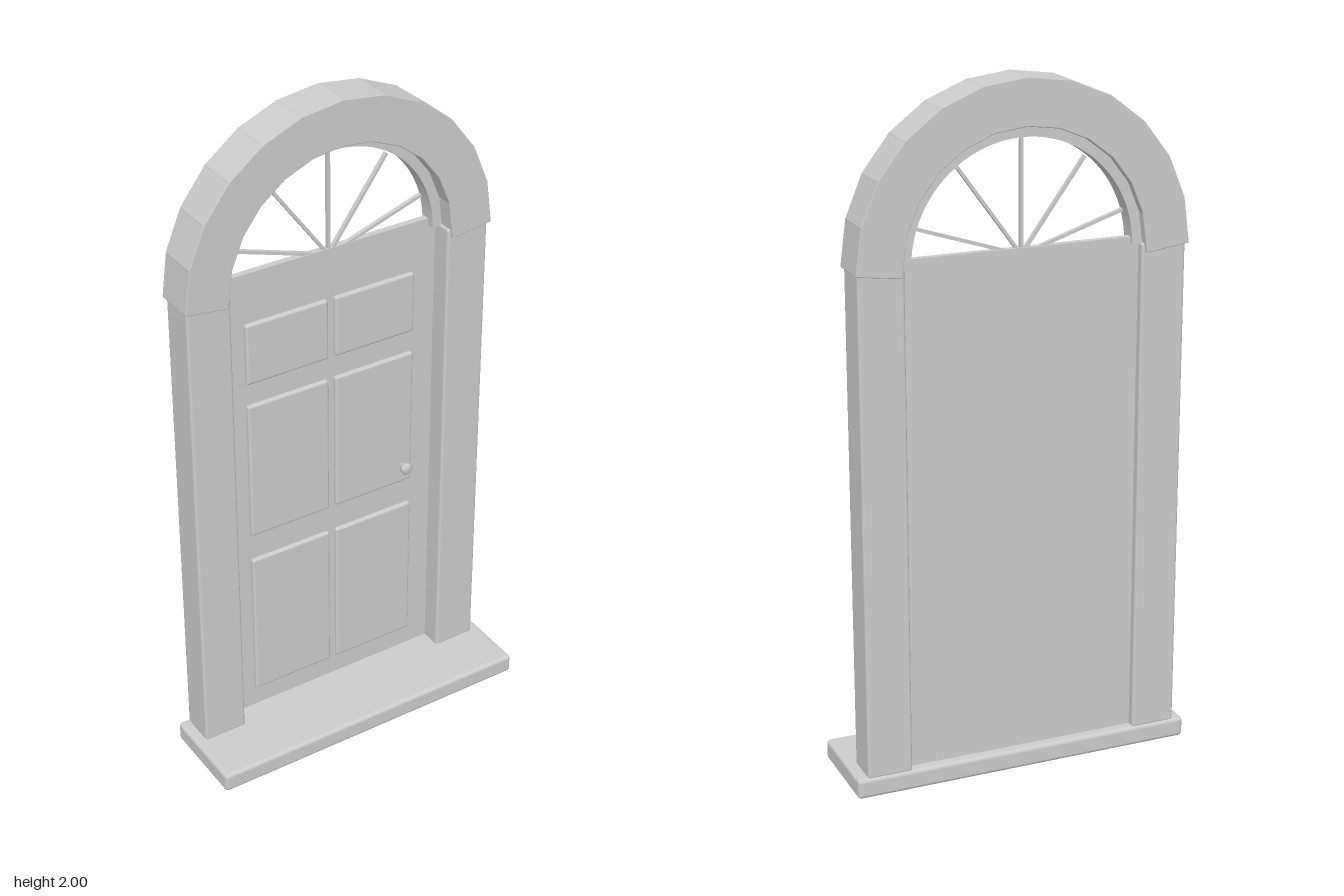
import * as THREE from 'three';
import { RoundedBoxGeometry } from 'three/addons/geometries/RoundedBoxGeometry.js';

const SPRING = 1.515; // height of the arch centre
const SILL_TOP = 0.06;

export function createModel() {
  const model = new THREE.Group();
  model.name = 'archedDoorway';
  const grey = new THREE.MeshStandardMaterial({ color: 0xcccccc });
  grey.name = 'plain grey';

  const add = (name, geometry, parent = model) => {
    const mesh = new THREE.Mesh(geometry, grey);
    mesh.name = name;
    parent.add(mesh);
    return mesh;
  };

  // box given by its extents, with optional softened edges
  const block = (name, [x0, x1], [y0, y1], [z0, z1], bevel = 0, parent = model) => {
    const size = [x1 - x0, y1 - y0, z1 - z0];
    const geometry = bevel
      ? new RoundedBoxGeometry(...size, 2, bevel)
      : new THREE.BoxGeometry(...size);
    const mesh = add(name, geometry, parent);
    mesh.position.set((x0 + x1) / 2, (y0 + y1) / 2, (z0 + z1) / 2);
    return mesh;
  };

  // doorstep
  block('sill', [-0.51, 0.51], [0, SILL_TOP], [-0.142, 0.142], 0.012);

  // side posts
  block('leftJamb', [0.345, 0.478], [SILL_TOP - 0.005, 1.52], [-0.136, -0.028], 0.008);
  block('rightJamb', [-0.478, -0.345], [SILL_TOP - 0.005, 1.52], [-0.136, -0.028], 0.008);

  // ring of overlapping arch stones
  const arch = new THREE.Group();
  arch.name = 'archStones';
  model.add(arch);
  const stones = 12, inner = 0.35, outer = 0.48;
  for (let i = 0; i < stones; i++) {
    const angle = ((i + 0.5) / stones) * Math.PI;
    const r = (inner + outer) / 2;
    const stone = add('archStone', new RoundedBoxGeometry(outer - inner, 0.135, 0.125, 1, 0.003), arch);
    stone.position.set(r * Math.cos(angle), SPRING + r * Math.sin(angle), -0.0825);
    stone.rotation.z = angle;
  }

  // thin round frame lining the fanlight
  const ring = new THREE.Shape();
  ring.absarc(0, 0, 0.36, 0, Math.PI, false);
  ring.absarc(0, 0, 0.322, Math.PI, 0, true);
  const frame = add('fanlightFrame', new THREE.ExtrudeGeometry(ring, {
    depth: 0.05, bevelEnabled: false, curveSegments: 20,
  }));
  frame.position.set(0, SPRING, -0.12);

  // radiating glazing bars
  const bars = new THREE.Group();
  bars.name = 'glazingBars';
  bars.position.set(0, SPRING, -0.1);
  model.add(bars);
  for (let i = 0; i < 5; i++) {
    const angle = THREE.MathUtils.degToRad(18 + 36 * i);
    const length = i === 2 ? 0.325 : 0.314;
    const bar = add('glazingBar', new THREE.BoxGeometry(length, 0.009, 0.012), bars);
    bar.position.set(Math.cos(angle) * length / 2, Math.sin(angle) * length / 2, 0);
    bar.rotation.z = angle;
  }

  // door leaf with six raised panels
  const door = new THREE.Group();
  door.name = 'door';
  model.add(door);
  block('doorLeaf', [-0.352, 0.352], [SILL_TOP, 1.536], [-0.112, -0.092], 0, door);
  for (const [y0, y1] of [[0.127, 0.603], [0.688, 1.127], [1.196, 1.385]]) {
    for (const x of [0.142, -0.142]) {
      block('doorPanel', [x - 0.131, x + 0.131], [y0, y1], [-0.104, -0.08], 0.008, door);
    }
  }

  // round knob on a short stem
  const profile = [[0.009, 0], [0.009, 0.012], [0.018, 0.017], [0.018, 0.028], [0.011, 0.034], [0, 0.034]];
  const knob = add('doorKnob', new THREE.LatheGeometry(profile.map(([r, h]) => new THREE.Vector2(r, h)), 10), door);
  knob.rotation.x = Math.PI / 2;
  knob.position.set(0.24, 0.748, -0.082);

  return model;
}
